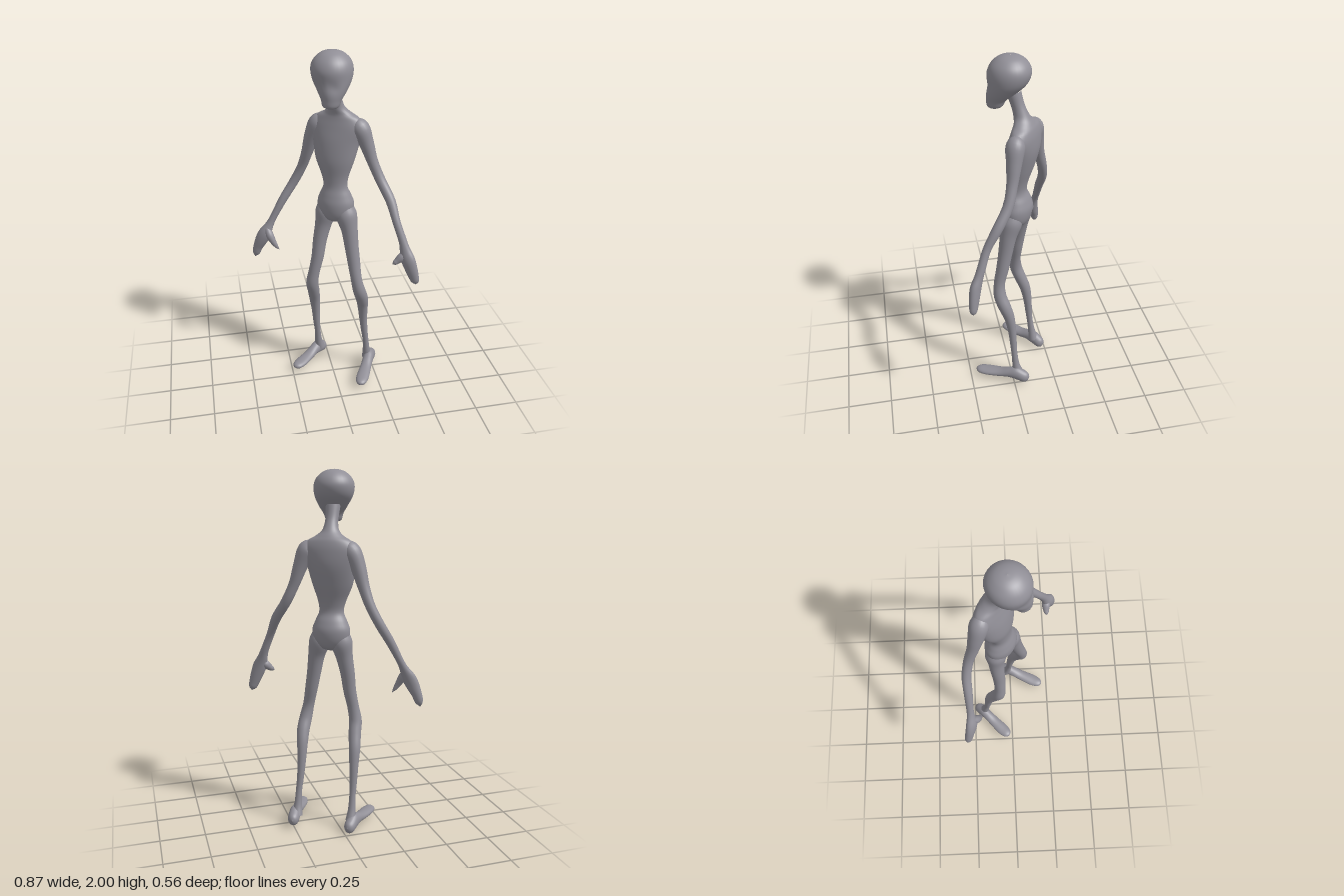
import * as THREE from 'three';

// Lateral direction of the turned body (36 degrees about y)
const LAT = new THREE.Vector3(0.81, 0, 0.59).normalize();
const FWD = new THREE.Vector3(-0.59, 0, 0.81).normalize();
const UP = new THREE.Vector3(0, 1, 0);

// Smooth loft through elliptical sections [x, y, z, lateral radius, depth radius];
// a fixed axis keeps all sections parallel, otherwise they follow the path
function loft(sections, { axis = null, side = LAT, seg = 24, sub = 5 } = {}) {
  const path = new THREE.CatmullRomCurve3(
    sections.map(s => new THREE.Vector3(s[0], s[1], s[2])), false, 'catmullrom');
  const radii = new THREE.CatmullRomCurve3(
    sections.map(s => new THREE.Vector3(s[3], s[4] ?? s[3], 0)), false, 'catmullrom');
  const n = (sections.length - 1) * sub;
  const pos = [], index = [];
  for (let i = 0; i <= n; i++) {
    const p = path.getPoint(i / n), r = radii.getPoint(i / n);
    const t = axis ? axis.clone() : path.getTangent(i / n);
    const u = side.clone().addScaledVector(t, -side.dot(t)).normalize();
    const v = t.clone().cross(u);
    for (let j = 0; j < seg; j++) {
      const a = j / seg * Math.PI * 2;
      const q = p.clone()
        .addScaledVector(u, Math.max(r.x, 0.001) * Math.cos(a))
        .addScaledVector(v, Math.max(r.y, 0.001) * Math.sin(a));
      pos.push(q.x, q.y, q.z);
      if (i < n) {
        const k = (j + 1) % seg, A = i * seg + j, B = i * seg + k;
        index.push(A, B, A + seg, B, B + seg, A + seg);
      }
    }
  }
  const g = new THREE.BufferGeometry();
  g.setAttribute('position', new THREE.Float32BufferAttribute(pos, 3));
  g.setIndex(index);
  g.computeVertexNormals();
  return g;
}

// Presses shallow eye hollows into the face
function pressEyes(g) {
  const p = g.attributes.position, v = new THREE.Vector3();
  for (const s of [-1, 1]) {
    const eye = new THREE.Vector3(-0.01, 1.835, 0.01)
      .addScaledVector(LAT, s * 0.045).addScaledVector(FWD, 0.08);
    for (let i = 0; i < p.count; i++) {
      v.fromBufferAttribute(p, i);
      v.addScaledVector(FWD, -0.008 * Math.exp(-v.distanceToSquared(eye) / 0.0009));
      p.setXYZ(i, v.x, v.y, v.z);
    }
  }
  g.computeVertexNormals();
  return g;
}

export function createModel() {
  const model = new THREE.Group();
  model.name = 'slenderFigure';
  const skin = new THREE.MeshStandardMaterial({ color: 0x918f97 });
  skin.name = 'greySkin';
  const add = (name, geometry) => {
    const m = new THREE.Mesh(geometry, skin);
    m.name = name;
    model.add(m);
  };

  // Head: wide cranium tapering to a small chin
  add('head', pressEyes(loft([
    [-0.025, 1.722, 0.058, 0, 0],
    [-0.025, 1.732, 0.056, 0.040, 0.038],
    [-0.020, 1.770, 0.048, 0.055, 0.052],
    [-0.012, 1.810, 0.025, 0.078, 0.077],
    [-0.006, 1.860, -0.003, 0.102, 0.101],
    [-0.005, 1.910, -0.013, 0.109, 0.111],
    [-0.004, 1.950, -0.016, 0.097, 0.098],
    [-0.004, 1.980, -0.017, 0.068, 0.069],
    [-0.004, 1.995, -0.017, 0.036, 0.036],
    [-0.004, 2.000, -0.017, 0, 0],
  ], { axis: UP, seg: 32 })));

  // Pelvis, waist, chest and neck in one skin
  add('torsoAndNeck', loft([
    [0.025, 1.030, -0.050, 0, 0],
    [0.025, 1.050, -0.050, 0.060, 0.050],
    [0.025, 1.090, -0.053, 0.098, 0.072],
    [0.025, 1.150, -0.056, 0.106, 0.078],
    [0.024, 1.200, -0.055, 0.089, 0.066],
    [0.022, 1.250, -0.052, 0.069, 0.049],
    [0.021, 1.310, -0.058, 0.079, 0.052],
    [0.022, 1.400, -0.070, 0.112, 0.068],
    [0.032, 1.500, -0.083, 0.135, 0.074],
    [0.042, 1.580, -0.087, 0.152, 0.066],
    [0.044, 1.630, -0.087, 0.125, 0.056],
    [0.041, 1.658, -0.082, 0.078, 0.048],
    [0.033, 1.685, -0.072, 0.047, 0.043],
    [0.025, 1.720, -0.060, 0.036, 0.038],
    [0.016, 1.760, -0.047, 0.035, 0.036],
    [0.005, 1.820, -0.030, 0.040, 0.040],
  ], { axis: UP, seg: 32 }));

  // Arms run into flat mitten hands
  add('rightArm', loft([
    [-0.025, 1.615, -0.135, 0.030],
    [-0.055, 1.580, -0.155, 0.050],
    [-0.086, 1.500, -0.175, 0.042],
    [-0.110, 1.400, -0.197, 0.032],
    [-0.138, 1.300, -0.225, 0.027],
    [-0.187, 1.200, -0.242, 0.026],
    [-0.250, 1.100, -0.240, 0.024],
    [-0.305, 1.000, -0.238, 0.020],
    [-0.332, 0.950, -0.236, 0.024, 0.020],
    [-0.360, 0.900, -0.234, 0.038, 0.026],
    [-0.383, 0.855, -0.241, 0.038, 0.026],
    [-0.406, 0.800, -0.254, 0.029, 0.023],
    [-0.419, 0.755, -0.260, 0.022, 0.018],
    [-0.426, 0.728, -0.263, 0, 0],
  ]));
  add('leftArm', loft([
    [0.120, 1.615, -0.035, 0.030],
    [0.148, 1.580, -0.015, 0.050],
    [0.180, 1.500, -0.002, 0.040],
    [0.212, 1.400, 0.014, 0.030],
    [0.252, 1.300, 0.042, 0.028],
    [0.295, 1.200, 0.105, 0.027],
    [0.316, 1.100, 0.163, 0.022],
    [0.345, 1.000, 0.200, 0.023],
    [0.356, 0.950, 0.217, 0.030, 0.024],
    [0.369, 0.900, 0.235, 0.040, 0.028],
    [0.385, 0.850, 0.246, 0.037, 0.027],
    [0.401, 0.800, 0.254, 0.030, 0.023],
    [0.411, 0.768, 0.258, 0.022, 0.018],
    [0.415, 0.748, 0.260, 0, 0],
  ]));
  add('rightThumb', loft([
    [-0.348, 0.925, -0.228, 0.018],
    [-0.338, 0.890, -0.208, 0.023],
    [-0.320, 0.850, -0.194, 0.017],
    [-0.302, 0.820, -0.188, 0.010],
    [-0.287, 0.800, -0.186, 0],
  ], { seg: 16 }));
  add('leftThumb', loft([
    [0.360, 0.930, 0.222, 0.018],
    [0.337, 0.908, 0.220, 0.024],
    [0.313, 0.888, 0.220, 0.018],
    [0.298, 0.878, 0.222, 0.013],
    [0.286, 0.870, 0.224, 0],
  ], { seg: 16, side: FWD }));

  // Legs: thigh, bent knee, thin shin
  add('rightLeg', loft([
    [-0.018, 1.140, -0.085, 0.045],
    [-0.025, 1.080, -0.086, 0.060],
    [-0.042, 1.000, -0.085, 0.047],
    [-0.063, 0.900, -0.080, 0.040],
    [-0.078, 0.800, -0.073, 0.036],
    [-0.100, 0.700, -0.070, 0.033],
    [-0.112, 0.620, -0.077, 0.036],
    [-0.101, 0.550, -0.100, 0.035],
    [-0.090, 0.470, -0.130, 0.032],
    [-0.081, 0.380, -0.146, 0.026],
    [-0.075, 0.280, -0.155, 0.021],
    [-0.068, 0.200, -0.163, 0.018],
    [-0.061, 0.120, -0.174, 0.022],
    [-0.052, 0.060, -0.185, 0.031],
  ]));
  add('leftLeg', loft([
    [0.068, 1.140, -0.022, 0.045],
    [0.076, 1.080, -0.010, 0.060],
    [0.090, 1.000, 0.010, 0.047],
    [0.100, 0.900, 0.027, 0.040],
    [0.111, 0.800, 0.045, 0.036],
    [0.122, 0.700, 0.066, 0.032],
    [0.140, 0.620, 0.066, 0.036],
    [0.163, 0.550, 0.043, 0.036],
    [0.175, 0.480, 0.020, 0.031],
    [0.184, 0.380, 0.004, 0.024],
    [0.195, 0.280, -0.003, 0.020],
    [0.206, 0.200, -0.008, 0.018],
    [0.214, 0.120, -0.016, 0.022],
    [0.223, 0.060, -0.030, 0.031],
  ]));

  // Feet: one heel-to-toe outline [fraction, height, half width, half thickness]
  const foot = [
    [0, 0.042, 0, 0], [0.03, 0.040, 0.020, 0.025], [0.10, 0.043, 0.032, 0.038],
    [0.24, 0.058, 0.033, 0.043], [0.38, 0.058, 0.032, 0.032], [0.55, 0.048, 0.034, 0.024],
    [0.78, 0.044, 0.038, 0.020], [0.92, 0.043, 0.031, 0.018], [0.98, 0.043, 0.017, 0.011],
    [1, 0.043, 0, 0],
  ];
  for (const [name, hx, hz, tx, tz, dy] of [
    ['rightFoot', -0.010, -0.240, -0.238, -0.022, -0.003],
    ['leftFoot', 0.268, -0.088, 0.122, 0.214, 0.012],
  ]) {
    const axis = new THREE.Vector3(tx - hx, 0, tz - hz).normalize();
    const side = UP.clone().cross(axis);
    add(name, loft(foot.map(([f, y, w, h]) =>
      [hx + (tx - hx) * f, y + dy * (1 - f), hz + (tz - hz) * f, w, h]), { axis, side }));
  }
  return model;
}
